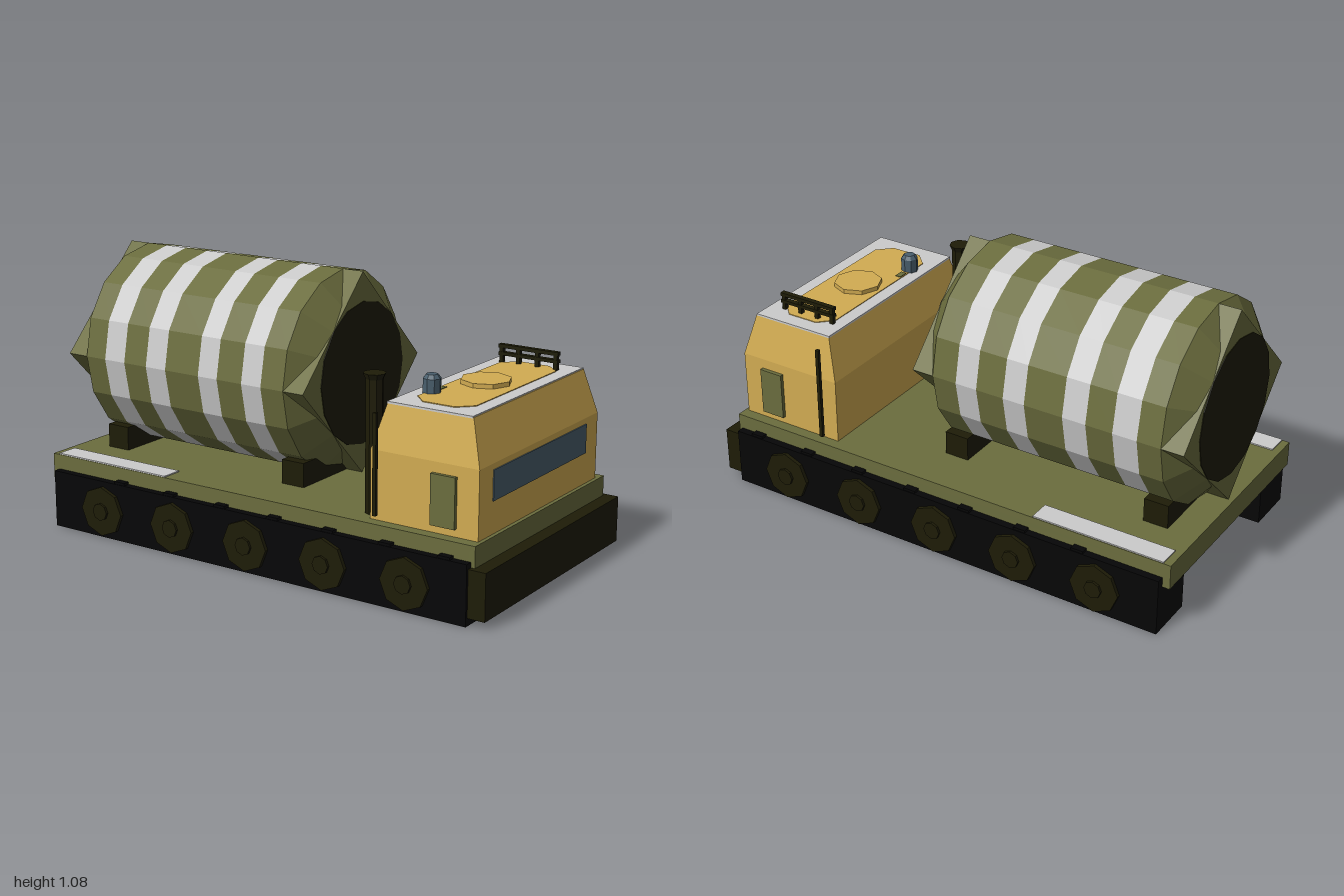
import * as THREE from 'three';

const mat = (name, color) => {
  const m = new THREE.MeshStandardMaterial({ color });
  m.name = name;
  m.flatShading = true;
  return m;
};

export function createModel() {
  const model = new THREE.Group();
  model.name = 'trackedTankerTruck';
  const olive = mat('olive', 0x6b6d3e);
  const yellow = mat('ochreYellow', 0xd2ac52);
  const grey = mat('lightGrey', 0xcccccc);
  const blue = mat('glassBlue', 0x4a5f6d);
  const dark = mat('darkOlive', 0x1e1c07);
  const black = mat('trackBlack', 0x060607);

  const add = (name, geo, material, parent = model) => {
    const mesh = new THREE.Mesh(geo, material);
    mesh.name = name;
    parent.add(mesh);
    return mesh;
  };
  // Box given by its extents on each axis
  const box = (name, material, x0, x1, y0, y1, z0, z1, parent) => add(name,
    new THREE.BoxGeometry(x1 - x0, y1 - y0, z1 - z0)
      .translate((x0 + x1) / 2, (y0 + y1) / 2, (z0 + z1) / 2), material, parent);
  // Upright cylinder from y0 to y1
  const post = (name, material, x, z, y0, y1, r0, r1, parent) => add(name,
    new THREE.CylinderGeometry(r1, r0, y1 - y0, 8).translate(x, (y0 + y1) / 2, z), material, parent);
  // Cylinder lying along x, on the drum axis
  const drumPart = (name, material, x0, x1, r0, r1, sides, parent) => add(name,
    new THREE.CylinderGeometry(r1, r0, x1 - x0, sides).rotateZ(-Math.PI / 2)
      .translate((x0 + x1) / 2, 0.685, 0), material, parent);

  // Hull: deck plate with a rim hanging down all round
  box('deck', olive, -1, 0.945, 0.265, 0.29, -0.49, 0.49);
  box('rearRim', olive, -1, -0.975, 0.19, 0.27, -0.49, 0.49);
  box('frontRim', olive, 0.92, 0.945, 0.19, 0.27, -0.49, 0.49);
  box('frontBumper', dark, 0.93, 1, 0.03, 0.21, -0.51, 0.51);

  // Tracks, wheels, doors and strips on both sides
  for (const s of [1, -1]) {
    const side = new THREE.Group();
    side.name = s > 0 ? 'leftSide' : 'rightSide';
    model.add(side);
    const sbox = (name, m, x0, x1, y0, y1, z0, z1) =>
      box(name, m, x0, x1, y0, y1, Math.min(s * z0, s * z1), Math.max(s * z0, s * z1), side);
    sbox('sideRim', olive, -0.98, 0.93, 0.19, 0.27, 0.465, 0.49);
    sbox('track', black, -0.97, 0.93, 0, 0.23, 0.32, 0.52);
    for (let i = 0; i < 7; i++) {
      const x = -0.635 + i * 0.245;
      sbox('trackLug', black, x - 0.025, x + 0.025, 0.22, 0.24, 0.47, 0.517);
    }
    for (let i = 0; i < 5; i++) {
      const x = -0.717 + i * 0.35;
      const disc = (name, r, z0, z1) => add(name, new THREE.CylinderGeometry(r, r, z1 - z0, 8)
        .rotateX(Math.PI / 2).translate(x, 0.11, s * (z0 + z1) / 2), dark, side);
      disc('roadWheel', 0.1, 0.5, 0.535);
      disc('wheelHub', 0.035, 0.53, 0.545);
    }
    sbox('deckStrip', grey, -0.97, -0.43, 0.288, 0.295, 0.4, 0.488);
    sbox('cabDoor', olive, 0.742, 0.842, 0.32, 0.51, 0.44, 0.46);
    sbox('aerial', dark, 0.523, 0.537, 0.32, 0.7, 0.478, 0.492);
  }

  // Striped drum
  const drum = new THREE.Group();
  drum.name = 'drum';
  model.add(drum);
  const cuts = [-0.89, -0.795, -0.697, -0.588, -0.492, -0.332, -0.242, -0.127, -0.037, 0.065];
  for (let i = 0; i < cuts.length - 1; i++) {
    drumPart(i % 2 ? 'drumStripe' : 'drumBand', i % 2 ? grey : olive, cuts[i], cuts[i + 1], 0.395, 0.395, 16, drum);
  }
  // Tapered ends with four-cornered collars and dark mouths
  drumPart('rearTaper', olive, -0.98, -0.89, 0.28, 0.395, 16, drum);
  drumPart('frontTaper', olive, 0.065, 0.155, 0.395, 0.28, 16, drum);
  drumPart('rearCollar', olive, -0.98, -0.88, 0.395, 0.395, 4, drum);
  drumPart('frontCollar', olive, 0.055, 0.155, 0.395, 0.395, 4, drum);
  drumPart('rearMouth', dark, -0.983, -0.975, 0.28, 0.28, 16, drum);
  drumPart('frontMouth', dark, 0.15, 0.158, 0.28, 0.28, 16, drum);
  box('rearCradle', dark, -0.88, -0.78, 0.28, 0.385, -0.29, 0.29);
  box('frontCradle', dark, -0.017, 0.083, 0.28, 0.385, -0.29, 0.29);
  box('cradleMount', dark, 0.01, 0.05, 0.26, 0.268, -0.28, 0.28);

  // Cab: straight lower half, upper half drawn in toward the roof
  const cab = new THREE.Group();
  cab.name = 'cab';
  model.add(cab);
  box('cabBody', yellow, 0.485, 0.93, 0.285, 0.55, -0.445, 0.445, cab);
  const upper = new THREE.BoxGeometry(0.445, 0.17, 0.89);
  const p = upper.attributes.position;
  for (let i = 0; i < p.count; i++) {
    if (p.getY(i) > 0) p.setXYZ(i, p.getX(i) * 0.35 / 0.445, p.getY(i), p.getZ(i) * 0.41 / 0.445);
  }
  add('cabUpper', upper.translate(0.7075, 0.635, 0), yellow, cab);
  box('roofPlate', grey, 0.53, 0.88, 0.717, 0.725, -0.412, 0.412, cab);
  box('windscreen', blue, 0.926, 0.934, 0.413, 0.527, -0.35, 0.35, cab);

  // Roof panel with cut corners
  const panel = new THREE.Shape();
  const w = 0.12, h = 0.35, c = 0.055;
  panel.setFromPoints([[-w + c, -h], [w - c, -h], [w, -h + c], [w, h - c], [w - c, h], [-w + c, h], [-w, h - c], [-w, -h + c]]
    .map(([x, y]) => new THREE.Vector2(x, y)));
  add('roofPanel', new THREE.ExtrudeGeometry(panel, { depth: 0.004, bevelEnabled: false })
    .rotateX(-Math.PI / 2).translate(0.705, 0.724, 0), yellow, cab);
  post('roofHatch', yellow, 0.695, 0, 0.724, 0.745, 0.096, 0.096, cab);

  // Beacon
  post('beacon', blue, 0.6, 0.223, 0.724, 0.78, 0.034, 0.034, cab);
  post('beaconCap', blue, 0.6, 0.223, 0.78, 0.795, 0.034, 0.022, cab);
  box('beaconBracket', olive, 0.588, 0.612, 0.724, 0.731, 0.14, 0.18, cab);

  // Roof rail
  box('railTop', dark, 0.572, 0.825, 0.782, 0.796, -0.328, -0.307, cab);
  box('railLower', dark, 0.572, 0.825, 0.753, 0.766, -0.328, -0.307, cab);
  for (const x of [0.583, 0.655, 0.735, 0.813]) {
    box('railPost', dark, x - 0.008, x + 0.008, 0.724, 0.79, -0.326, -0.309, cab);
  }

  // Exhaust stack
  post('exhaustPipe', dark, 0.458, 0.38, 0.285, 0.79, 0.033, 0.033);
  post('exhaustFlare', dark, 0.458, 0.38, 0.79, 0.812, 0.033, 0.043);

  return model;
}
